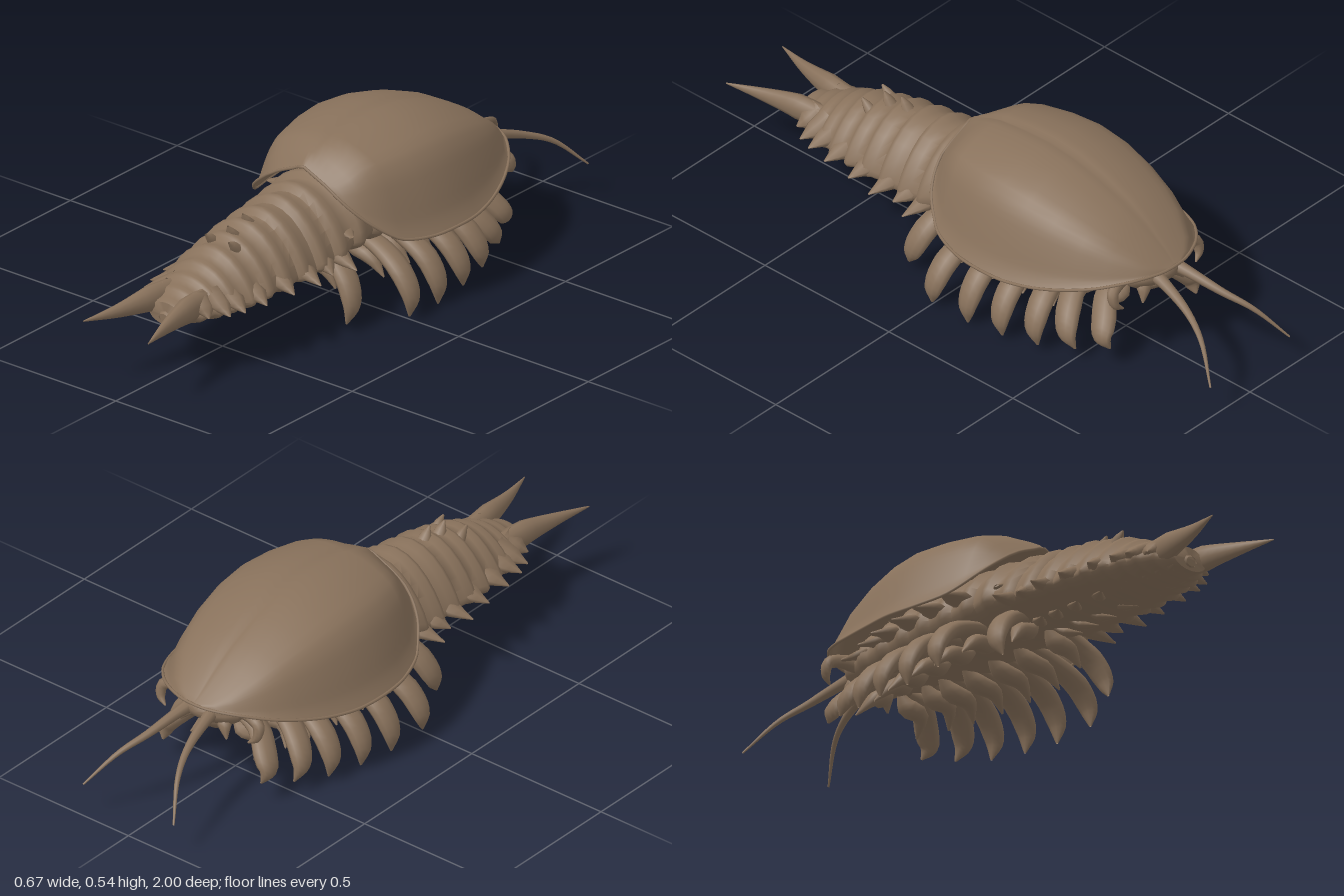
import * as THREE from 'three';
import { toCreasedNormals } from 'three/addons/utils/BufferGeometryUtils.js';

const V = (x, y, z) => new THREE.Vector3(x, y, z);
const shell = new THREE.MeshStandardMaterial({ color: 0x88715b, side: THREE.DoubleSide });
shell.name = 'brown chitin';

// Skin a list of rings (arrays of Vector3), closed or open around
function loft(rings, closed = true) {
  const n = rings[0].length, pos = [], idx = [];
  rings.forEach(r => r.forEach(p => pos.push(p.x, p.y, p.z)));
  for (let i = 0; i < rings.length - 1; i++) {
    for (let j = 0; j < (closed ? n : n - 1); j++) {
      const a = i * n + j, b = i * n + (j + 1) % n;
      idx.push(a, b, a + n, b, b + n, a + n);
    }
  }
  const g = new THREE.BufferGeometry();
  g.setAttribute('position', new THREE.Float32BufferAttribute(pos, 3));
  g.setIndex(idx);
  g.computeVertexNormals();
  return g;
}

// Read a row of values from a table sorted by its first column
function sample(table, z) {
  let i = 0;
  while (i < table.length - 2 && z > table[i + 1][0]) i++;
  const a = table[i], b = table[i + 1];
  const t = THREE.MathUtils.clamp((z - a[0]) / (b[0] - a[0]), 0, 1);
  return a.map((v, k) => THREE.MathUtils.lerp(v, b[k], t));
}

// Tapering limb along a curve; radii run evenly along it, flat thins it across the ref axis
function limb(points, radii, ref = V(0, 0, 1), flat = 1, steps = 12, sides = 9) {
  const curve = new THREE.CatmullRomCurve3(points.map(p => V(...p)));
  const table = radii.map((r, i) => [i / (radii.length - 1), r]);
  const rings = [];
  for (let i = 0; i <= steps; i++) {
    const t = i / steps, c = curve.getPoint(t), T = curve.getTangent(t);
    const A = ref.clone().addScaledVector(T, -ref.dot(T)).normalize();
    const B = T.clone().cross(A);
    const r = sample(table, t)[1];
    rings.push(Array.from({ length: sides }, (_, j) => {
      const a = j / sides * Math.PI * 2;
      return c.clone().addScaledVector(A, r * Math.cos(a)).addScaledVector(B, r * flat * Math.sin(a));
    }));
  }
  return loft(rings);
}

export function createModel() {
  const model = new THREE.Group();
  const add = (name, geo) => {
    const m = new THREE.Mesh(geo, shell);
    m.name = name;
    model.add(m);
  };
  const pair = (name, points, ...rest) => {
    for (const s of [1, -1]) {
      add((s > 0 ? 'left ' : 'right ') + name, limb(points.map(([x, y, z]) => [s * x, y, z]), ...rest));
    }
  };

  // Carapace stations: z, half width, crown height, rim height
  const stations = [
    [-0.695, 0.04, 0.322, 0.316], [-0.68, 0.09, 0.332, 0.315], [-0.65, 0.145, 0.357, 0.31],
    [-0.58, 0.215, 0.41, 0.29], [-0.5, 0.262, 0.456, 0.27], [-0.4, 0.3, 0.497, 0.25],
    [-0.3, 0.323, 0.524, 0.24], [-0.2, 0.33, 0.535, 0.24], [-0.1, 0.318, 0.531, 0.24],
    [0, 0.285, 0.519, 0.255], [0.04, 0.258, 0.506, 0.28], [0.08, 0.225, 0.49, 0.315],
    [0.11, 0.18, 0.472, 0.355], [0.125, 0.13, 0.455, 0.393]];
  const half = new THREE.SplineCurve([[1, 0], [0.93, 0.14], [0.87, 0.34], [0.8, 0.55], [0.73, 0.7],
    [0.6, 0.85], [0.3, 0.975], [0.05, 1]].map(p => new THREE.Vector2(...p))).getPoints(16);
  const arch = [...half, new THREE.Vector2(0, 0.97), ...half.map(p => new THREE.Vector2(-p.x, p.y)).reverse()];
  // The arch straightens into a gable towards the front opening
  const shellRings = stations.map(([z, w, top, rim]) => {
    const gable = 0.85 * Math.pow(Math.max(0, (z - 0.04) / 0.085), 1.5);
    return arch.map(p => V(w * p.x, rim + (top - rim) * THREE.MathUtils.lerp(p.y, 1 - Math.abs(p.x), gable), z));
  });
  add('carapace', loft(shellRings, false));

  // Thickened rim around the open edge of the carapace
  const last = arch.length - 1, front = shellRings[shellRings.length - 1];
  const edge = [...shellRings.map(r => r[0]), ...front.slice(2, -2).filter((_, i) => i % 3 === 0),
    ...shellRings.map(r => r[last]).reverse()];
  add('carapaceRim', new THREE.TubeGeometry(new THREE.CatmullRomCurve3(edge, true), 110, 0.005, 6, true));

  // Body table: z, half width, top, waist height, bottom, roundness exponent
  const bodyTable = [
    [-0.69, 0.03, 0.3, 0.285, 0.27, 1], [-0.64, 0.1, 0.33, 0.28, 0.23, 1.1], [-0.5, 0.15, 0.39, 0.27, 0.2, 1.15],
    [-0.2, 0.18, 0.42, 0.27, 0.185, 1.15], [0.08, 0.185, 0.41, 0.25, 0.19, 1.2], [0.2, 0.185, 0.4, 0.22, 0.19, 1.55],
    [0.4, 0.172, 0.372, 0.213, 0.175, 1.6], [0.55, 0.155, 0.335, 0.208, 0.165, 1.6],
    [0.68, 0.12, 0.275, 0.205, 0.165, 1.4], [0.77, 0.06, 0.235, 0.2, 0.165, 1.2]];
  const bodyRing = (z, k) => {
    const [, w, top, mid, low, power] = sample(bodyTable, z);
    return Array.from({ length: 28 }, (_, j) => {
      const a = j / 28 * Math.PI * 2, s = Math.sin(a);
      const y = s > 0 ? (top - mid) * Math.pow(s, power) : (mid - low) * s;
      return V(w * k * Math.cos(a), mid + y * k, z);
    });
  };
  const joints = [-0.69, -0.6, -0.5, -0.4, -0.3, -0.2, -0.1, 0, 0.09, 0.18, 0.26, 0.34, 0.42, 0.49,
    0.56, 0.62, 0.67, 0.72, 0.77];
  const rings = [bodyRing(-0.69, 0.01)];
  for (let i = 0; i < joints.length - 1; i++) {
    const a = joints[i], L = joints[i + 1] - a;
    rings.push(bodyRing(a + L * 0.08, 0.95), bodyRing(a + L * 0.45, 0.98),
      bodyRing(a + L * 0.75, 1.06), bodyRing(a + L * 0.92, 1.04));
  }
  rings.push(bodyRing(0.77, 0.01));
  add('segmentedBody', toCreasedNormals(loft(rings), 0.95));

  // Side spines and belly lobes of the abdomen
  const spines = [[0.17, 0.25], [0.24, 0.215], [0.32, 0.235], [0.42, 0.215], [0.53, 0.2], [0.61, 0.183], [0.66, 0.165], [0.71, 0.125]];
  for (const [z, tip] of spines) {
    const w = sample(bodyTable, z)[1];
    pair('sideSpine', [[w * 0.55, 0.25, z - 0.025], [w * 0.95, 0.222, z - 0.01], [tip, 0.205, z + 0.005]],
      [0.04, 0.034, 0.003], V(0, 0, 1), 0.6, 6, 7);
    pair('bellyLobe', [[w * 0.15, 0.2, z - 0.03], [w * 0.3, 0.18, z], [w * 0.45, 0.174, z + 0.04]],
      [0.012, 0.026, 0.004], V(1, 0, 0), 0.55, 7, 7);
  }

  // Small thorns on the back
  pair('backThorn', [[0.045, 0.32, 0.48], [0.045, 0.345, 0.505], [0.045, 0.362, 0.525]],
    [0.022, 0.014, 0.003], V(1, 0, 0), 1, 6, 7);
  for (const [y, z] of [[0.4, 0.4], [0.385, 0.47]]) {
    add('backCrest', limb([[0, y - 0.06, z - 0.04], [0, y - 0.022, z - 0.01], [0, y, z + 0.005]],
      [0.03, 0.018, 0.003], V(1, 0, 0), 0.7, 6, 7));
  }

  // Tail fork and end plate
  pair('tailFork', [[0.06, 0.225, 0.66], [0.07, 0.228, 0.76], [0.092, 0.225, 0.88], [0.125, 0.225, 1]],
    [0.042, 0.042, 0.022, 0.002], V(0, 1, 0), 0.75, 12, 10);
  add('tailPlate', limb([[0, 0.2, 0.66], [0, 0.195, 0.74], [0, 0.19, 0.775]], [0.045, 0.04, 0.02], V(1, 0, 0), 0.8, 8, 8));

  // Walking legs: base z, knee z, tip z, tip x, tip y
  const legs = [[0.12, 0.14, 0.18, 0.225, 0.02], [-0.03, -0.015, 0.0, 0.32, 0.01], [-0.14, -0.14, -0.14, 0.315, 0],
    [-0.25, -0.255, -0.27, 0.305, 0.01], [-0.35, -0.365, -0.39, 0.28, 0.02],
    [-0.42, -0.45, -0.51, 0.245, 0.045], [-0.52, -0.56, -0.61, 0.2, 0.07]];
  for (const [z0, z1, z2, x, y] of legs) {
    pair('leg', [[x * 0.25, 0.21, z0], [x * 0.52, 0.19, z0], [x * 0.82, 0.14, z1],
      [x * 0.97, y * 0.5 + 0.065, (z1 + z2) / 2], [x - 0.01, y, z2]],
      [0.025, 0.036, 0.04, 0.042, 0.039, 0.027, 0.004], V(0, 0, 1), 0.62, 16, 10);
    pair('legBase', [[x * 0.1, 0.2, z0], [x * 0.25, 0.165, z0], [x * 0.45, 0.15, z0 + 0.01], [x * 0.62, 0.1, z1]],
      [0.012, 0.036, 0.03, 0.003], V(0, 0, 1), 0.8, 10, 9);
    pair('gillFlap', [[x * 0.4, 0.27, z0 - 0.01], [x * 0.62, 0.285, z0 - 0.01], [x * 0.82, 0.275, z1 - 0.02]],
      [0.04, 0.045, 0.01], V(0, 0, 1), 0.35, 8, 9);
  }

  // Head end: feelers, small hooked mouth limbs and mouth lobe
  pair('antenna', [[0.03, 0.29, -0.6], [0.047, 0.275, -0.7], [0.075, 0.24, -0.82], [0.115, 0.2, -0.91], [0.175, 0.11, -1]],
    [0.03, 0.018, 0.012, 0.008, 0.003], V(0, 1, 0), 1, 18, 8);
  pair('mouthLimb', [[0.06, 0.27, -0.57], [0.14, 0.285, -0.6], [0.185, 0.27, -0.615], [0.185, 0.235, -0.625], [0.16, 0.215, -0.635]],
    [0.03, 0.022, 0.018, 0.014, 0.003], V(0, 0, 1), 1, 14, 8);
  pair('palp', [[0.04, 0.26, -0.6], [0.07, 0.24, -0.635], [0.09, 0.205, -0.65]], [0.03, 0.022, 0.003], V(0, 0, 1), 1, 8, 8);
  add('mouthLobe', limb([[0, 0.24, -0.67], [0, 0.225, -0.6], [0, 0.21, -0.5]], [0.004, 0.045, 0.004], V(1, 0, 0), 0.8, 10, 10));

  return model;
}
